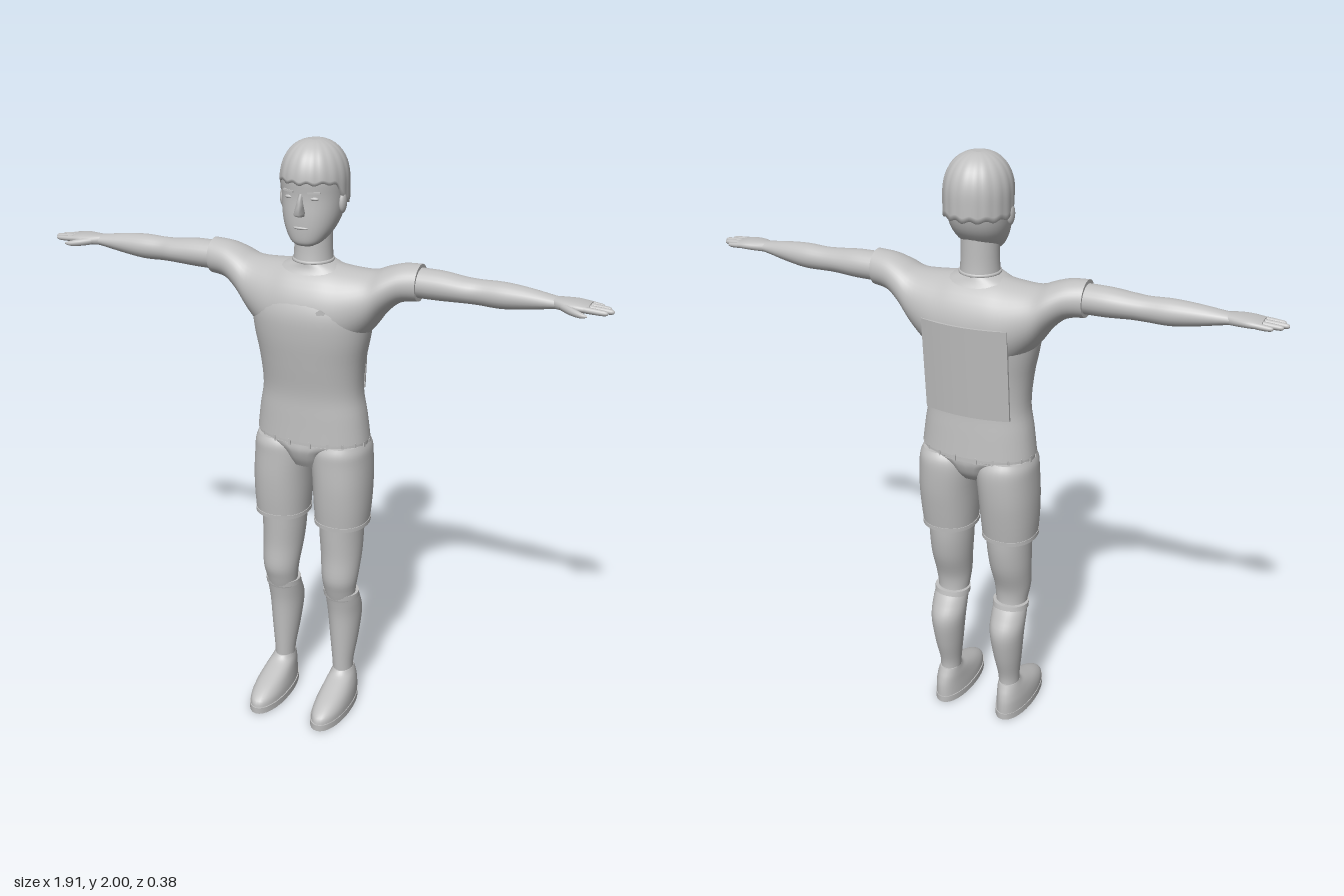
import * as THREE from 'three';

const material = new THREE.MeshStandardMaterial({ color: 0xc0c0c0 });
material.name = 'plain grey';

// Catmull-Rom resampling of rows of numbers
function smoothRows(rows, steps) {
  const out = [];
  for (let i = 0; i < rows.length - 1; i++) {
    const p0 = rows[Math.max(i - 1, 0)], p1 = rows[i], p2 = rows[i + 1], p3 = rows[Math.min(i + 2, rows.length - 1)];
    for (let s = 0; s < steps; s++) {
      const t = s / steps;
      out.push(p1.map((v, k) => v + 0.5 * t * (p2[k] - p0[k]
        + t * (2 * p0[k] - 5 * v + 4 * p2[k] - p3[k] + t * (3 * (v - p2[k]) + p3[k] - p0[k])))));
    }
  }
  out.push(rows[rows.length - 1]);
  return out;
}

// Skin a grid of points: rings of n points, ascending, with flat end caps
function skin(rings) {
  const n = rings[0].length, pos = rings.flat(2), idx = [];
  for (let i = 0; i < rings.length - 1; i++) {
    for (let j = 0; j < n; j++) {
      const a = i * n + j, b = i * n + (j + 1) % n;
      idx.push(a, a + n, b, b, a + n, b + n);
    }
  }
  for (const end of [0, rings.length - 1]) {
    const ring = rings[end], base = pos.length / 3;
    pos.push(...ring.flat());
    const c = [0, 1, 2].map(k => ring.reduce((s, p) => s + p[k], 0) / n);
    pos.push(...c);
    for (let j = 0; j < n; j++) {
      const a = base + j, b = base + (j + 1) % n;
      idx.push(base + n, ...(end ? [b, a] : [a, b]));
    }
  }
  const g = new THREE.BufferGeometry();
  g.setAttribute('position', new THREE.Float32BufferAttribute(pos, 3));
  g.setIndex(idx);
  g.computeVertexNormals();
  return g;
}

// Rows are [along, aMin, aMax, bMin, bMax]; a,b = x,z along y, or z,y along x
function loft(rows, { axis = 'y', n = 32, power = 2, steps = 4 } = {}) {
  const round = v => Math.sign(v) * Math.abs(v) ** (2 / power);
  return skin(smoothRows(rows, steps).map(([t, a0, a1, b0, b1]) => Array.from({ length: n }, (_, j) => {
    const th = j / n * Math.PI * 2;
    const a = (a0 + a1) / 2 + (a1 - a0) / 2 * round(Math.cos(th));
    const b = (b0 + b1) / 2 + (b1 - b0) / 2 * round(Math.sin(th));
    return axis === 'y' ? [a, t, b] : [t, b, a];
  })));
}

function mirrored(geometry) {
  const g = geometry.clone().scale(-1, 1, 1), ix = g.index.array;
  for (let i = 0; i < ix.length; i += 3) [ix[i], ix[i + 1]] = [ix[i + 1], ix[i]];
  return g;
}

const ball = (x, y, z, rx, ry, rz) => new THREE.SphereGeometry(1, 16, 12).scale(rx, ry, rz).translate(x, y, z);

export function createModel() {
  const model = new THREE.Group();
  model.name = 'standingFigure';
  const add = (name, geometry) => {
    const mesh = new THREE.Mesh(geometry, material);
    mesh.name = name;
    model.add(mesh);
  };
  const pair = (name, geometry) => {
    add(name + 'Left', geometry);
    add(name + 'Right', mirrored(geometry));
  };

  // Shirt: trunk, then shoulders and sleeves as one sideways loft
  add('shirtTrunk', loft([
    [1.035, -.195, .195, -.161, .071], [1.12, -.184, .184, -.155, .069], [1.2, -.171, .171, -.15, .069],
    [1.3, -.177, .177, -.155, .084], [1.4, -.195, .195, -.165, .098], [1.48, -.2, .2, -.17, .098],
    [1.55, -.175, .175, -.148, .07], [1.6, -.12, .12, -.115, .035], [1.625, -.066, .066, -.104, .028],
  ], { power: 2.25, n: 48 }));
  const sleeve = [
    [.06, -.172, .09, 1.32, 1.622], [.12, -.165, .078, 1.34, 1.614], [.2, -.146, .052, 1.415, 1.612],
    [.25, -.132, .037, 1.482, 1.63], [.3, -.116, .022, 1.524, 1.645], [.357, -.103, .012, 1.534, 1.65],
  ];
  add('shirtSleeves', loft([
    ...sleeve.map(([x, ...r]) => [-x, ...r]).reverse(), [0, -.175, .094, 1.31, 1.624], ...sleeve,
  ], { axis: 'x', n: 40 }));
  add('collar', new THREE.TorusGeometry(.062, .006, 8, 32).rotateX(Math.PI / 2).translate(0, 1.628, -.038));

  // Thin curved panel on the back and a small patch on the chest
  const panel = new THREE.BoxGeometry(.29, .31, .008, 14, 8, 1).translate(0, 1.335, 0);
  const pp = panel.attributes.position;
  for (let i = 0; i < pp.count; i++) {
    const x = pp.getX(i), y = pp.getY(i);
    pp.setZ(i, pp.getZ(i) - .154 - .09 * (y - 1.18) + 1.1 * x * x);
  }
  panel.computeVertexNormals();
  add('backPanel', panel);
  add('chestPatch', new THREE.CylinderGeometry(.015, .015, .006, 5).rotateX(Math.PI / 2)
    .rotateZ(Math.PI).rotateY(.25).translate(.08, 1.49, .085));

  // Belt with loops
  add('belt', loft([[1.018, -.191, .191, -.158, .068], [1.04, -.191, .191, -.158, .068]], { power: 2.25, n: 48, steps: 1 }));
  for (let i = 0; i < 20; i++) {
    const t = (i + .5) / 20 * Math.PI * 2, r = v => Math.sign(v) * Math.abs(v) ** (2 / 2.25);
    add('beltLoop', new THREE.BoxGeometry(.008, .022, .03).rotateY(Math.PI / 2 - t)
      .rotateY(0).translate(.18 * r(Math.cos(t)), 1.029, -.045 + .102 * r(Math.sin(t))));
  }

  // Shorts: pelvis and two legs with hems
  add('shortsSeat', loft([
    [.935, -.062, .062, -.115, .04], [.965, -.075, .075, -.14, .058],
    [1.0, -.105, .105, -.155, .07], [1.025, -.185, .185, -.157, .068],
  ], { power: 2.6 }));
  pair('shortsLeg', loft([
    [.727, .02, .2, -.135, .058], [.8, .015, .205, -.148, .066], [.88, .011, .206, -.16, .071],
    [.96, .006, .202, -.166, .071], [1.0, .012, .198, -.163, .07], [1.025, .03, .188, -.15, .06],
  ], { power: 2.2 }));
  pair('shortsHem', loft([[.725, .017, .203, -.138, .061], [.739, .017, .203, -.139, .062]], { power: 2.2, steps: 1 }));

  // Legs
  pair('thigh', loft([
    [.43, .06, .162, -.078, .022], [.47, .055, .167, -.075, .034], [.52, .049, .175, -.082, .046],
    [.6, .04, .18, -.11, .043], [.68, .033, .182, -.125, .046], [.76, .03, .184, -.13, .05],
  ]));
  pair('shin', loft([
    [.11, .08, .15, -.09, -.008], [.16, .077, .151, -.092, -.006], [.25, .065, .162, -.118, -.002],
    [.35, .054, .171, -.135, .003], [.41, .052, .173, -.11, .012], [.45, .053, .171, -.086, .021],
  ]));
  pair('sockCuff', loft([[.436, .049, .174, -.093, .024], [.456, .049, .174, -.089, .027]], { steps: 1 }));

  // Shoes
  pair('shoeUpper', loft([
    [.02, .061, .177, -.118, .186], [.045, .063, .176, -.118, .178], [.07, .067, .172, -.116, .135],
    [.095, .072, .164, -.11, .068], [.115, .077, .156, -.102, .015], [.13, .08, .15, -.096, -.003],
  ], { power: 2.1 }));
  pair('shoeSole', loft([[0, .058, .179, -.12, .189], [.024, .058, .179, -.121, .19]], { power: 2.1, steps: 1 }));

  // Arms, hands, fingers
  pair('arm', loft([
    [.33, -.095, .004, 1.545, 1.638], [.42, -.096, .004, 1.546, 1.638], [.5, -.088, .002, 1.55, 1.63],
    [.55, -.084, -.004, 1.55, 1.628], [.62, -.084, 0, 1.549, 1.63], [.7, -.074, -.002, 1.56, 1.624],
    [.78, -.06, -.004, 1.575, 1.613], [.81, -.06, -.002, 1.578, 1.612],
  ], { axis: 'x', n: 24 }));
  pair('palm', loft([
    [.78, -.056, -.006, 1.578, 1.612], [.81, -.064, .008, 1.578, 1.613],
    [.85, -.072, .014, 1.58, 1.612], [.885, -.07, .01, 1.583, 1.606],
  ], { axis: 'x', n: 20, power: 2.4 }));
  [[-.061, .92], [-.04, .945], [-.019, .957], [.002, .943]].forEach(([z, tip], i) => {
    pair('finger' + i, loft([
      [.87, z - .01, z + .01, 1.585, 1.605], [tip - .02, z - .009, z + .009, 1.584, 1.601],
      [tip - .004, z - .006, z + .006, 1.586, 1.598], [tip, z - .001, z + .001, 1.591, 1.593],
    ], { axis: 'x', n: 10 }));
  });
  pair('thumb', loft([
    [.8, -.022, .004, 1.582, 1.606], [.835, .002, .026, 1.578, 1.602],
    [.87, .02, .037, 1.577, 1.595], [.89, .031, .035, 1.583, 1.588],
  ], { axis: 'x', n: 12 }));

  // Neck and head
  add('neck', loft([[1.6, -.066, .066, -.105, .03], [1.66, -.061, .061, -.1, .022], [1.74, -.06, .06, -.1, .02]]));
  add('head', loft([
    [1.687, -.028, .028, .005, .044], [1.7, -.052, .052, -.04, .054], [1.735, -.077, .077, -.095, .059],
    [1.78, -.092, .092, -.13, .06], [1.84, -.098, .098, -.147, .058], [1.9, -.099, .099, -.15, .062],
    [1.95, -.08, .08, -.125, .045], [1.98, -.035, .035, -.08, 0],
  ], { power: 2.2 }));

  // Hair cap with locks; hairline drops from the fringe to the nape
  const hair = [], n = 96, rows = 18;
  for (let i = -1; i <= rows; i++) {
    hair.push(Array.from({ length: n }, (_, j) => {
      const t = j / n * Math.PI * 2, front = Math.sin(t);
      const low = 1.812 + .07 * THREE.MathUtils.smoothstep(front, -.1, .6) + .004 * Math.cos(t * 14);
      const v = Math.max(i, 0) / rows, y = low + (1.999 - low) * Math.sin(v * Math.PI / 2);
      const dome = (1 - Math.max(0, (y - 1.87) / .13) ** 2.3) ** (1 / 2.3);
      const r = dome * (i < 0 ? .85 : .985 + .018 * Math.abs(Math.sin(t * 9)));
      return [.107 * r * Math.cos(t), y, -.048 + .117 * r * front];
    }));
  }
  add('hair', skin(hair));

  // Face
  pair('ear', ball(.1, 1.815, -.035, .011, .032, .02));
  pair('eye', ball(.04, 1.838, .047, .016, .006, .008));
  pair('eyebrow', new THREE.BoxGeometry(.04, .006, .009).rotateZ(.06).rotateY(.3).translate(.042, 1.857, .05));
  add('nose', skin([
    [1.784, .017, .054, .074], [1.794, .018, .05, .091], [1.822, .011, .05, .078], [1.852, .007, .05, .063],
  ].map(([y, w, back, tip]) => [[w, y, back], [w * .45, y, tip], [-w * .45, y, tip], [-w, y, back]])));
  add('mouth', ball(0, 1.746, .056, .026, .005, .007));

  return model;
}
